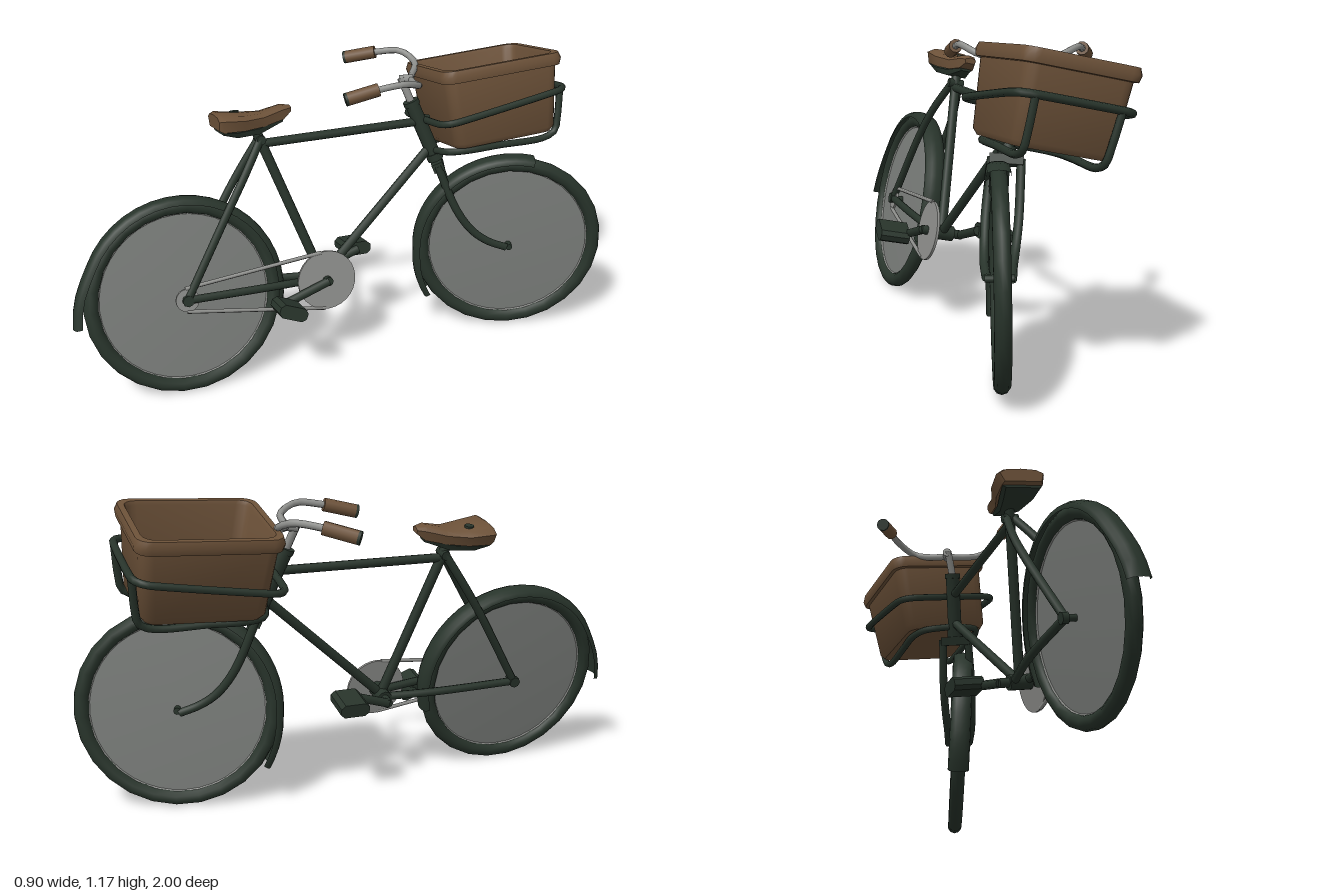
import * as THREE from 'three';
import { toCreasedNormals } from 'three/addons/utils/BufferGeometryUtils.js';

const mat = (name, color, side = THREE.FrontSide) => {
  const m = new THREE.MeshStandardMaterial({ color, side });
  m.name = name;
  return m;
};
const rad = THREE.MathUtils.degToRad;

export function createModel() {
  const green = mat('dark green paint', 0x28342b, THREE.DoubleSide);
  const brown = mat('brown leather', 0x6d5239);
  const chrome = mat('chrome', 0x8e8f8c);
  const spokeGrey = mat('spoke grey', 0x7b7e7b, THREE.DoubleSide);

  // point from right / up / forward distances
  const P = (r, u, f) => new THREE.Vector3(r, u, -f);

  const add = (parent, name, geo, material) => {
    const mesh = new THREE.Mesh(geo, material);
    mesh.name = name;
    parent.add(mesh);
    return mesh;
  };
  const group = (parent, name) => {
    const g = new THREE.Group();
    g.name = name;
    parent.add(g);
    return g;
  };
  // straight bar between two points
  const bar = (parent, name, a, b, radius, material, sides = 10) => {
    const d = b.clone().sub(a);
    const m = add(parent, name, new THREE.CylinderGeometry(radius, radius, d.length(), sides), material);
    m.position.copy(a).add(b).multiplyScalar(0.5);
    m.quaternion.setFromUnitVectors(new THREE.Vector3(0, 1, 0), d.normalize());
    return m;
  };
  // bent tube through points
  const tube = (parent, name, pts, radius, material, closed = false) =>
    add(parent, name, new THREE.TubeGeometry(
      new THREE.CatmullRomCurve3(pts, closed, 'centripetal'), closed ? 72 : 28, radius, 8, closed), material);
  // skin over equal loops of points, capped at both ends
  const loft = (rings, crease) => {
    const n = rings[0].length, pts = rings.flat(), idx = [];
    for (let i = 0; i < rings.length - 1; i++)
      for (let j = 0; j < n; j++) {
        const k = (j + 1) % n, a = i * n, b = a + n;
        idx.push(a + j, a + k, b + k, a + j, b + k, b + j);
      }
    [rings[0], rings.at(-1)].forEach((ring, e) => {
      const c = ring.reduce((s, p) => s.add(p), new THREE.Vector3()).divideScalar(n);
      const base = e ? (rings.length - 1) * n : 0;
      pts.push(c);
      for (let j = 0; j < n; j++) {
        const k = (j + 1) % n;
        idx.push(pts.length - 1, base + (e ? j : k), base + (e ? k : j));
      }
    });
    const g = new THREE.BufferGeometry().setFromPoints(pts);
    g.setIndex(idx);
    return toCreasedNormals(g, crease);
  };

  // wheel turning about x, with slightly domed spoke faces
  const wheel = (parent, name, centre) => {
    const w = group(parent, name);
    w.position.copy(centre);
    add(w, 'tyre', new THREE.TorusGeometry(0.352, 0.029, 10, 26).rotateY(Math.PI / 2), green);
    add(w, 'rim', new THREE.TorusGeometry(0.33, 0.011, 6, 40).rotateY(Math.PI / 2), chrome);
    const dome = [[0, -0.018], [0.333, -0.004], [0.333, 0.004], [0, 0.018]].map(([r, y]) => new THREE.Vector2(r, y));
    add(w, 'spokeDisc', toCreasedNormals(new THREE.LatheGeometry(dome, 40), 0.5).rotateZ(Math.PI / 2), spokeGrey);
    bar(w, 'hub', P(-0.05, 0, 0), P(0.05, 0, 0), 0.013, green);
    return w;
  };
  // curved mudguard: 0 degrees is behind the wheel, 90 above, 180 in front
  const fender = (parent, name, from, to, flare) => {
    const prof = [[0.362, -0.042], [0.38, -0.038], [0.388, -0.02], [0.39, 0], [0.388, 0.02], [0.38, 0.038], [0.362, 0.042]]
      .map(([r, y]) => new THREE.Vector2(r, y));
    const geo = new THREE.LatheGeometry(prof, 24, rad(from), rad(to - from)).rotateZ(Math.PI / 2);
    const p = geo.attributes.position;
    for (let i = 0; i < p.count; i++) {
      const a = THREE.MathUtils.radToDeg(Math.atan2(p.getY(i), p.getZ(i)));
      const s = 1 + flare * Math.max(0, Math.min(1, (from + 30 - a) / 30)) * (Math.abs(a) < 60 ? 1 : 0);
      p.setY(i, p.getY(i) * s);
      p.setZ(i, p.getZ(i) * s);
    }
    geo.computeVertexNormals();
    return add(parent, name, geo, green);
  };

  // leaning and turned bicycle
  const model = new THREE.Group();
  model.name = 'bicycle';
  const bike = group(model, 'leaningBicycle');
  bike.position.set(-0.213, 0.387, 0.597);
  bike.rotation.set(0, rad(-17), rad(12), 'YXZ');

  // rear wheel
  const axle = r => P(r, -0.012, 0.018);
  fender(wheel(bike, 'rearWheel', axle(0)), 'rearFender', -7, 196, 0.1);

  // frame
  const bb = P(0, -0.03, 0.57), clamp = P(0, 0.547, 0.368);
  bar(bike, 'seatTube', bb, P(0, 0.61, 0.346), 0.019, green);
  bar(bike, 'topTube', P(0, 0.53, 0.374), P(0, 0.53, 1.02), 0.017, green);
  bar(bike, 'downTube', bb, P(0, 0.424, 1.06), 0.018, green);
  bar(bike, 'bottomBracket', P(-0.045, -0.03, 0.57), P(0.045, -0.03, 0.57), 0.03, green, 12);
  for (const s of [-1, 1]) {
    tube(bike, 'seatStay', [axle(s * 0.058), P(s * 0.056, 0.3, 0.205), P(s * 0.045, 0.42, 0.282), P(s * 0.014, 0.55, 0.368)], 0.016, green);
    tube(bike, 'chainStay', [axle(s * 0.058), P(s * 0.052, -0.02, 0.35), P(s * 0.025, -0.03, 0.57)], 0.016, green);
    bar(bike, 'axleNut', axle(s * 0.05), axle(s * 0.075), 0.022, green, 8);
  }
  bar(bike, 'seatClamp', clamp.clone().add(P(-0.03, 0, 0)), clamp.clone().add(P(0.03, 0, 0)), 0.018, green, 8);

  // drivetrain
  bar(bike, 'chainring', P(0.05, -0.03, 0.57), P(0.06, -0.03, 0.57), 0.117, chrome, 28);
  bar(bike, 'rearCog', axle(0.05), axle(0.06), 0.045, chrome, 28);
  bar(bike, 'chainTop', P(0.056, 0.034, 0.013), P(0.056, 0.083, 0.555), 0.008, chrome, 6);
  bar(bike, 'chainBottom', P(0.056, -0.057, 0.013), P(0.056, -0.143, 0.555), 0.008, chrome, 6);
  bar(bike, 'crankAxle', P(-0.085, -0.03, 0.57), P(0.085, -0.03, 0.57), 0.018, green, 10);
  for (const s of [-1, 1]) {
    const u = -0.03 - s * 0.06, f = 0.57 - s * 0.185;
    bar(bike, 'crankArm', P(s * 0.078, -0.03, 0.57), P(s * 0.078, u, f), 0.018, green, 8);
    const pedal = add(bike, 'pedal', loft([-0.06, 0.06].map(x =>
      [[0.056, 0.012], [0.04, 0.026], [-0.04, 0.026], [-0.056, 0.012], [-0.056, -0.012], [-0.04, -0.026], [0.04, -0.026], [0.056, -0.012]]
        .map(([z, y]) => new THREE.Vector3(x, y, z)).reverse()), 0.3), green);
    pedal.position.copy(P(s * 0.142, u, f));
    pedal.rotation.x = rad(s > 0 ? -22 : 0);
  }

  // saddle: stations of forward, half width, top, bottom
  const saddle = group(bike, 'saddle');
  const seatLoft = list => loft(list.map(([f, w, t, b]) =>
    [[0, t], [w * 0.7, t - 0.004], [w, (t * 2 + b) / 3], [w * 0.85, b], [-w * 0.85, b], [-w, (t * 2 + b) / 3], [-w * 0.7, t - 0.004]]
      .map(([x, y]) => P(x, y, f))), 0.7);
  add(saddle, 'seat', seatLoft([[0.2, 0.087, 0.662, 0.61], [0.215, 0.096, 0.668, 0.602], [0.3, 0.085, 0.656, 0.598],
    [0.38, 0.052, 0.653, 0.6], [0.46, 0.034, 0.67, 0.615], [0.494, 0.022, 0.662, 0.64]]), brown);
  add(saddle, 'seatBase', seatLoft([[0.215, 0.08, 0.606, 0.592], [0.27, 0.07, 0.604, 0.574], [0.36, 0.045, 0.606, 0.573],
    [0.46, 0.022, 0.622, 0.606]]), green);
  bar(saddle, 'seatStud', P(-0.024, 0.648, 0.285), P(-0.024, 0.662, 0.285), 0.018, green, 10);

  // basket fixed to the frame
  const basket = group(bike, 'basket');
  basket.position.copy(P(-0.012, 0.438, 1.324));
  basket.rotation.x = rad(3);
  const roundRect = (hw, hd, y, c) => {
    const ring = [];
    [[1, 1], [-1, 1], [-1, -1], [1, -1]].forEach(([sx, sz], q) => {
      for (let i = 0; i <= 4; i++) {
        const a = (q + i / 4) * Math.PI / 2;
        ring.push(new THREE.Vector3(sx * (hw - c) + c * Math.cos(a), y, -sz * (hd - c) - c * Math.sin(a)));
      }
    });
    return ring;
  };
  add(basket, 'basketBody', loft([
    [0.162, 0.204, 0, 0.04], [0.177, 0.219, 0.02, 0.045], [0.191, 0.238, 0.262, 0.045], [0.205, 0.252, 0.264, 0.05],
    [0.21, 0.257, 0.288, 0.05], [0.203, 0.25, 0.312, 0.05], [0.182, 0.228, 0.312, 0.045], [0.176, 0.222, 0.298, 0.045],
    [0.167, 0.211, 0.11, 0.045], [0.16, 0.203, 0.065, 0.045], [0.142, 0.185, 0.036, 0.05], [0.105, 0.145, 0.024, 0.05],
  ].map(a => roundRect(...a)), 0.8), brown);

  // rack around and below the basket
  const rack = group(bike, 'rack');
  rack.position.x = -0.01;
  const loop = roundRect(0.208, 0.264, 0, 0.06).map(p => P(p.x, 0.578 - p.z * 0.16, 1.308 - p.z));
  tube(rack, 'rackRing', loop, 0.014, green, true);
  for (const s of [-1, 1]) {
    tube(rack, 'rackStrut', [P(s * 0.15, 0.62, 1.57), P(s * 0.145, 0.5, 1.558), P(s * 0.143, 0.445, 1.545),
      P(s * 0.141, 0.422, 1.5), P(s * 0.14, 0.418, 1.3), P(s * 0.14, 0.415, 1.17), P(s * 0.11, 0.412, 1.1),
      P(s * 0.015, 0.41, 1.07)], 0.014, green);
  }
  bar(rack, 'rackMount', P(0.01, 0.55, 1.0), P(0.01, 0.535, 1.06), 0.016, green);

  // steering assembly, y along the steering axis
  const steer = group(bike, 'steering');
  steer.position.copy(P(0, 0.532, 1.02));
  steer.rotation.set(rad(20.8), rad(-21.5), 0, 'XYZ');
  bar(steer, 'headTube', P(0, -0.15, 0), P(0, 0.075, 0), 0.028, green, 12);
  bar(steer, 'headCap', P(0, 0.07, 0), P(0, 0.09, 0), 0.032, green, 12);
  bar(steer, 'lowerCup', P(0, -0.175, 0), P(0, -0.145, 0), 0.032, green, 12);
  add(steer, 'forkCrown', new THREE.BoxGeometry(0.12, 0.035, 0.045), green).position.set(0, -0.192, 0);
  for (const s of [-1, 1])
    tube(steer, 'forkBlade', [P(s * 0.052, -0.185, 0), P(s * 0.058, -0.39, 0.0), P(s * 0.054, -0.5, 0.025),
      P(s * 0.049, -0.57, 0.066), P(s * 0.043 - 0.005, -0.628, 0.122)], 0.016, green);

  // front wheel, nearly upright
  const front = wheel(steer, 'frontWheel', P(-0.006, -0.628, 0.134));
  front.rotation.z = rad(-5.5);
  fender(front, 'frontFender', -12, 126, 0.06);

  // handlebar, levelled again
  bar(steer, 'stem', P(0, 0.08, 0), P(-0.014, 0.185, 0), 0.015, chrome);
  const handlebar = group(steer, 'handlebar');
  handlebar.position.set(-0.018, 0.178, 0);
  handlebar.rotation.set(rad(-20.8), 0, rad(-3));
  bar(handlebar, 'stemExtension', P(0, 0, -0.01), P(0, 0, 0.045), 0.018, chrome);
  const half = [[0.06, 0.002, 0.045], [0.14, 0.02, 0.06], [0.205, 0.05, 0.005], [0.228, 0.043, -0.09], [0.25, 0.025, -0.19]];
  const side = s => half.map(([q, h, f]) => P(s * q, h, f));
  tube(handlebar, 'handlebarTube', [...side(-1).reverse(), P(0, 0, 0.035), ...side(1)], 0.013, chrome);
  for (const s of [-1, 1]) {
    const a = P(s * 0.229, 0.043, -0.095), b = P(s * 0.252, 0.02, -0.212);
    bar(handlebar, 'grip', a, b, 0.025, brown, 10);
    const d = b.clone().sub(a).normalize();
    bar(handlebar, 'gripCap', b, b.clone().addScaledVector(d, 0.01), 0.025, green, 10);
  }
  return model;
}
